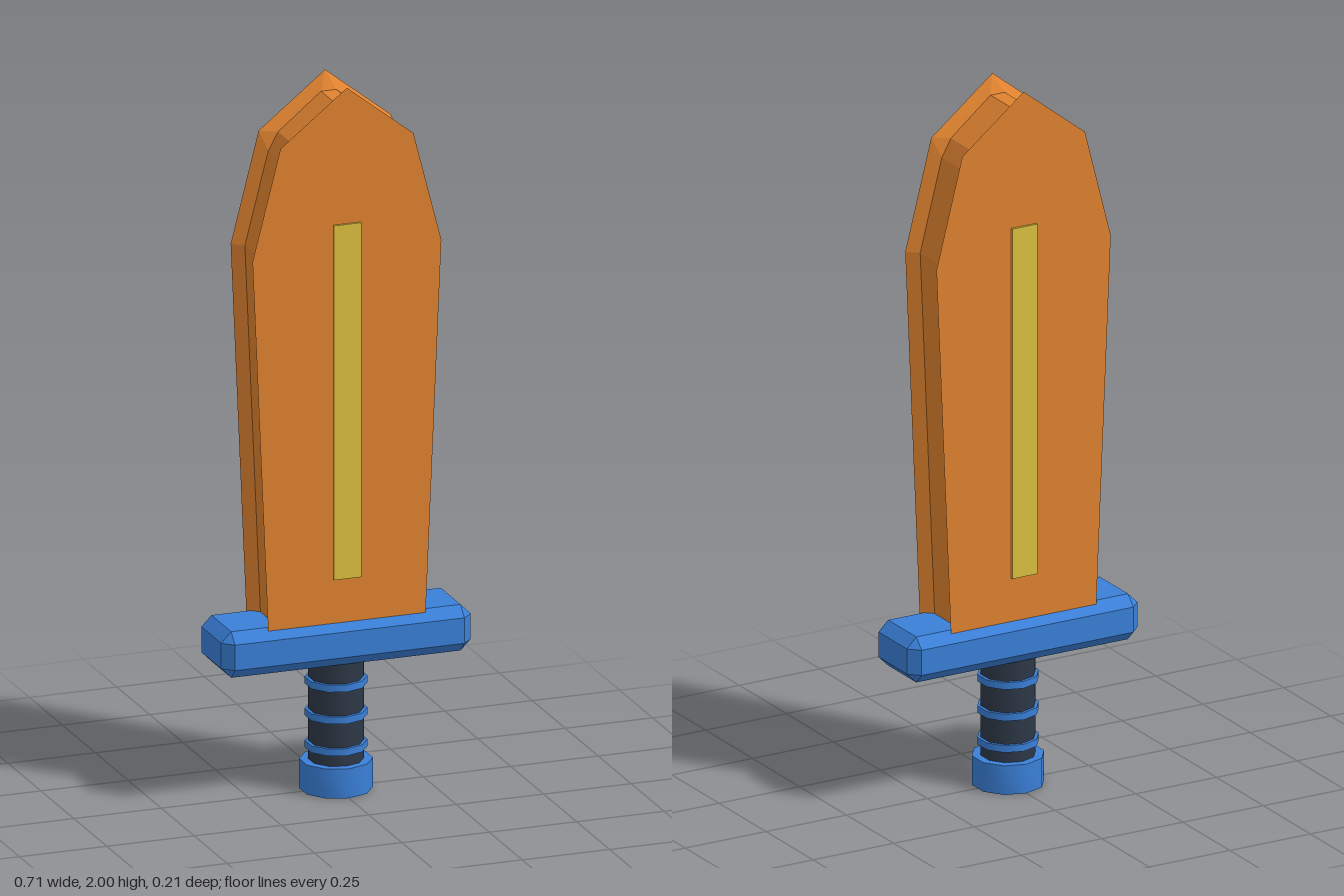
import * as THREE from 'three';
import { toCreasedNormals } from 'three/addons/utils/BufferGeometryUtils.js';
import { ConvexGeometry } from 'three/addons/geometries/ConvexGeometry.js';

const orange = new THREE.MeshStandardMaterial({ color: 0xe08330 });
const yellow = new THREE.MeshStandardMaterial({ color: 0xdcc040 });
const blue = new THREE.MeshStandardMaterial({ color: 0x3a80d8 });
const dark = new THREE.MeshStandardMaterial({ color: 0x2d3847 });

// Mirrors the right half of an outline into a full counter-clockwise loop
const mirrorLoop = (half) => [...half, ...half.map(([x, y]) => [-x, y]).reverse()];

// Skins a stack of matching outlines, front to back, with flat faces
function loft(layers) {
  const pos = [];
  const tri = (a, b, c) => {
    const t = new THREE.Triangle(a, b, c);
    if (t.getArea() > 1e-8) pos.push(...a.toArray(), ...b.toArray(), ...c.toArray());
  };
  const rings = layers.map(({ loop, z }) => loop.map(([x, y]) => new THREE.Vector3(x, y, z)));
  const n = rings[0].length;
  for (let k = 0; k < rings.length - 1; k++) {
    const a = rings[k], b = rings[k + 1];
    for (let i = 0; i < n; i++) {
      const j = (i + 1) % n;
      tri(a[i], b[i], b[j]);
      tri(a[i], b[j], a[j]);
    }
  }
  const front = rings[0], back = rings[rings.length - 1];
  for (let i = 1; i < n - 1; i++) {
    tri(front[0], front[i], front[i + 1]);
    tri(back[0], back[i + 1], back[i]);
  }
  const geo = new THREE.BufferGeometry();
  geo.setAttribute('position', new THREE.Float32BufferAttribute(pos, 3));
  geo.computeVertexNormals();
  return geo;
}

// Box with every edge cut at 45 degrees
function chamferedBox(w, h, d, c) {
  const pts = [];
  for (const sx of [-1, 1]) for (const sy of [-1, 1]) for (const sz of [-1, 1]) {
    const x = w / 2, y = h / 2, z = d / 2;
    pts.push(
      new THREE.Vector3(sx * x, sy * (y - c), sz * (z - c)),
      new THREE.Vector3(sx * (x - c), sy * y, sz * (z - c)),
      new THREE.Vector3(sx * (x - c), sy * (y - c), sz * z));
  }
  return new ConvexGeometry(pts);
}

export function createModel() {
  const model = new THREE.Group();
  const add = (name, geo, mat, y = 0, z = 0) => {
    const mesh = new THREE.Mesh(geo, mat);
    mesh.name = name;
    mesh.position.set(0, y, z);
    model.add(mesh);
  };

  // Blade: two wide faces with a groove running round the edge between them
  const face = mirrorLoop([[0.225, 0.49], [0.27, 1.54], [0.19, 1.85], [0.19, 1.85], [0, 2]]);
  const core = mirrorLoop([[0.195, 0.49], [0.24, 1.54], [0.173, 1.80], [0.145, 1.85], [0.022, 1.95]]);
  add('blade', loft([
    { loop: face, z: 0.083 }, { loop: core, z: 0.055 },
    { loop: core, z: -0.055 }, { loop: face, z: -0.083 },
  ]), orange);

  // Raised strips down the middle of both faces
  for (const [name, s] of [['frontStrip', 1], ['backStrip', -1]]) {
    add(name, new THREE.BoxGeometry(0.078, 1, 0.02), yellow, 1.117, s * 0.08);
  }

  // Crossguard
  add('guard', chamferedBox(0.714, 0.13, 0.208, 0.029), blue, 0.436);

  // Grip with its three bands
  add('grip', new THREE.CylinderGeometry(0.075, 0.075, 0.37, 10), dark, 0.195);
  for (const y of [0.125, 0.215, 0.305]) {
    add('gripBand', new THREE.CylinderGeometry(0.084, 0.084, 0.02, 10), blue, y);
  }

  // Pommel: a collar round the end of the grip
  const collar = [[0.07, 0], [0.099, 0], [0.099, 0.083], [0.07, 0.083]];
  const lathe = new THREE.LatheGeometry(collar.map(([r, y]) => new THREE.Vector2(r, y)), 10);
  add('pommel', toCreasedNormals(lathe, 0.8), blue);

  return model;
}
